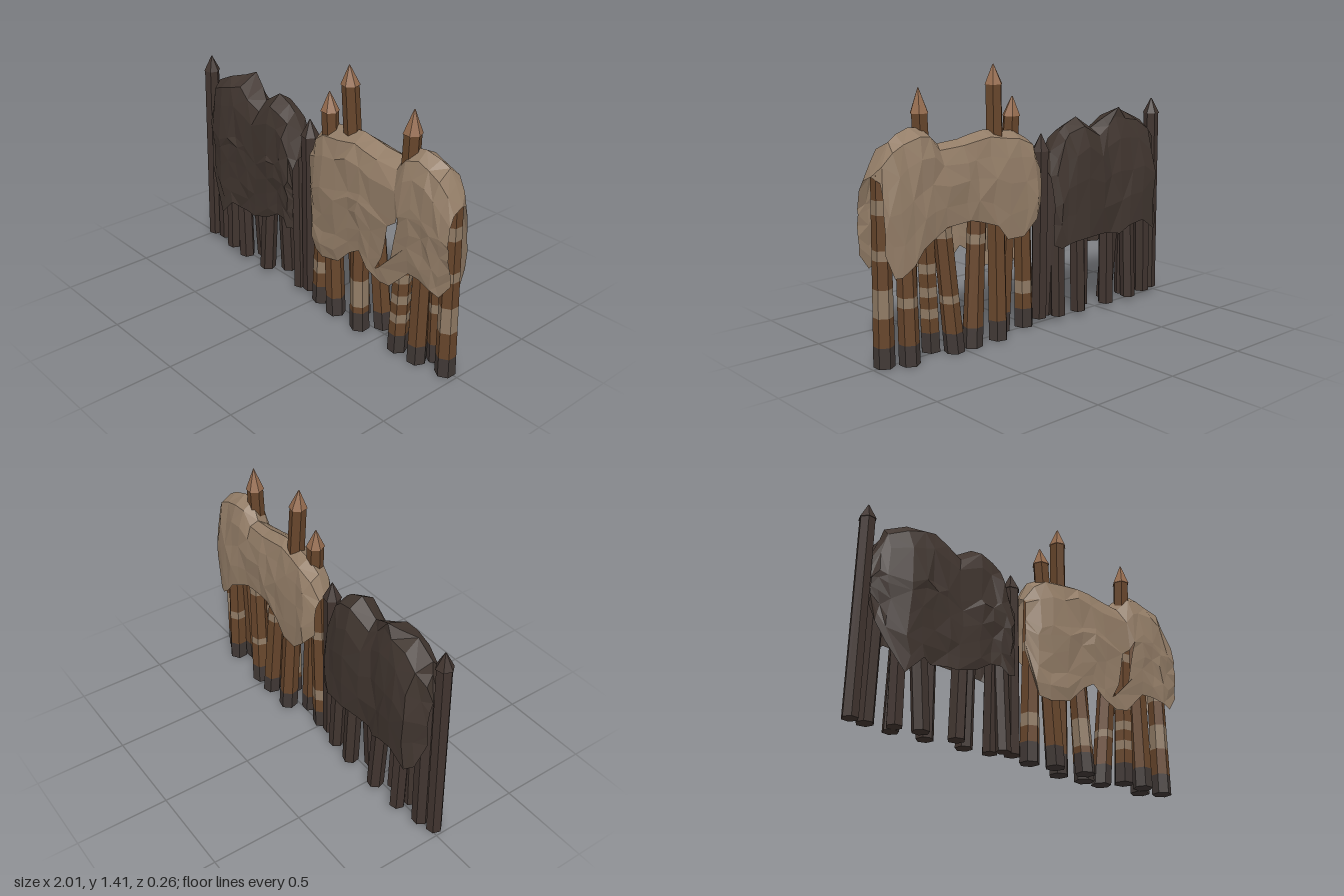
import * as THREE from 'three';

const mat = (name, color, side = THREE.FrontSide) => {
  const m = new THREE.MeshStandardMaterial({ color, flatShading: true, side });
  m.name = name;
  return m;
};

// repeatable noise in -1..1
function noise(seed) {
  let s = seed;
  return () => {
    s = (s * 16807) % 2147483647;
    return (s / 2147483647) * 2 - 1;
  };
}

// Front rows run from hem (0) to ridge (1), back rows return to the hem.
const FRONT = [0, 0.1, 0.22, 0.36, 0.5, 0.56, 0.8, 0.93, 1];
const FRONT_Z = [0.88, 0.9, 0.92, 0.97, 1, 1, 0.9, 0.65, 0];
const BACK = [0.93, 0.75, 0.5, 0.25, 0];
const BACK_Z = [0.55, 0.82, 0.95, 1, 0.95];

// Draped hide. Column: [x, ridge y, front hem y, back hem y, front z, back z, ridge z, front row x list]
function drapedHide(name, columns, material, seed, slit = -1) {
  const rnd = noise(seed), pos = [], index = [];
  const rows = FRONT.length + BACK.length;
  columns.forEach(([x, top, hemF, hemB, zF, zB, zR, xs], i) => {
    const inner = i > 0 && i < columns.length - 1;
    for (let j = 0; j < rows; j++) {
      const front = j < FRONT.length, k = j - FRONT.length;
      const t = front ? FRONT[j] : BACK[k];
      const hem = front ? hemF : hemB;
      const px = front && xs ? xs[j] : x + (inner ? rnd() * 0.016 : 0);
      const wobble = t < 1 ? rnd() * 0.009 : zR;
      const slack = t > 0 && t < 0.9 && !xs ? rnd() * 0.014 : 0;
      pos.push(px, hem + (top - hem) * t + slack, (front ? zF * FRONT_Z[j] : zB * BACK_Z[k]) + wobble);
    }
  });
  for (let i = 0; i < columns.length - 1; i++) {
    for (let j = 0; j < rows - 1; j++) {
      if (i === slit && j >= 1 && j <= 4) continue; // torn opening
      const a = i * rows + j, b = a + rows;
      if ((i + j) % 2) index.push(a, b, b + 1, a, b + 1, a + 1);
      else index.push(a, b, a + 1, b, b + 1, a + 1);
    }
  }
  let geo = new THREE.BufferGeometry();
  geo.setAttribute('position', new THREE.Float32BufferAttribute(pos, 3));
  geo.setIndex(index);
  geo = geo.toNonIndexed();
  geo.computeVertexNormals();
  const mesh = new THREE.Mesh(geo, material);
  mesh.name = name;
  return mesh;
}

// Leaning six-sided stake made of stacked coloured sections.
// foot and head are [x, y, z]; cuts are [upper y, material] from the foot up.
function stake(name, foot, head, r0, r1, cuts, tip, tipMaterial) {
  const g = new THREE.Group();
  g.name = name;
  const at = (y) => (y - foot[1]) / (head[1] - foot[1]);
  const section = (label, ya, yb, ra, rb, material) => {
    const geo = new THREE.CylinderGeometry(rb, ra, yb - ya, 6, 1);
    geo.rotateY(foot[0] * 9);
    geo.translate(0, (ya + yb) / 2, 0);
    const p = geo.attributes.position;
    for (let i = 0; i < p.count; i++) {
      const t = at(p.getY(i));
      p.setX(i, p.getX(i) + foot[0] + (head[0] - foot[0]) * t);
      p.setZ(i, p.getZ(i) + foot[2] + (head[2] - foot[2]) * t);
    }
    geo.computeVertexNormals();
    const mesh = new THREE.Mesh(geo, material);
    mesh.name = label;
    g.add(mesh);
  };
  const radius = (y) => r0 + (r1 - r0) * at(y);
  let y = foot[1];
  for (const [upper, material] of cuts) {
    section('stakeSection', y, upper, radius(y), radius(upper), material);
    y = upper;
  }
  if (tip) section('stakeTip', y, y + tip, r1 * 1.12, 0.003, tipMaterial);
  return g;
}

export function createModel() {
  const paleHide = mat('paleHide', 0x937d67, THREE.DoubleSide);
  const darkHide = mat('darkHide', 0x40352f, THREE.DoubleSide);
  const wood = mat('brownWood', 0x66452b);
  const cutWood = mat('cutWood', 0x946b4e);
  const band = mat('paleBinding', 0x8f7a64);
  const char = mat('charredFoot', 0x403835);
  const darkWood = mat('darkWood', 0x40342f);

  const model = new THREE.Group();
  model.name = 'stakeFence';

  // pale hide with a torn opening in its front
  model.add(drapedHide('paleHideCover', [
    [-0.025, 0.92, 0.62, 0.7, 0.06, -0.07, 0],
    [0.035, 1.03, 0.36, 0.62, 0.1, -0.11, 0],
    [0.11, 1.08, 0.345, 0.54, 0.11, -0.1, 0],
    [0.22, 1.09, 0.37, 0.54, 0.115, -0.1, 0],
    [0.31, 1.1, 0.46, 0.62, 0.115, -0.09, 0],
    [0.4, 1.085, 0.5, 0.66, 0.12, -0.09, 0],
    [0.47, 1.07, 0.43, 0.67, 0.115, -0.09, 0],
    [0.6, 1.06, 0.39, 0.66, 0.115, -0.09, 0, [0.55, 0.52, 0.565, 0.585, 0.6, 0.655, 0.64, 0.61, 0.6]],
    [0.68, 1.14, 0.4, 0.62, 0.12, -0.09, 0.02, [0.62, 0.545, 0.63, 0.65, 0.672, 0.68, 0.69, 0.68, 0.68]],
    [0.75, 1.15, 0.52, 0.58, 0.12, -0.1, 0.02],
    [0.82, 1.125, 0.52, 0.51, 0.12, -0.095, 0.01],
    [0.88, 1.095, 0.5, 0.46, 0.12, -0.09, 0],
    [0.93, 1.03, 0.48, 0.46, 0.115, -0.08, 0],
    [0.955, 0.94, 0.56, 0.58, 0.105, -0.06, 0.01, [1, 1, 0.998, 0.994, 0.99, 0.988, 0.985, 0.98, 0.975]],
  ], paleHide, 71, 7));

  // dark hide
  model.add(drapedHide('darkHideCover', [
    [-0.92, 0.88, 0.62, 0.6, 0.035, -0.05, 0],
    [-0.885, 0.99, 0.52, 0.47, 0.055, -0.09, 0],
    [-0.84, 1.05, 0.42, 0.43, 0.08, -0.135, 0.01],
    [-0.74, 1.105, 0.28, 0.5, 0.12, -0.13, 0.02],
    [-0.66, 1.125, 0.38, 0.48, 0.115, -0.12, -0.03],
    [-0.6, 1.145, 0.36, 0.44, 0.105, -0.11, -0.06],
    [-0.52, 1.09, 0.37, 0.45, 0.105, -0.1, -0.03],
    [-0.45, 1.04, 0.365, 0.46, 0.105, -0.11, 0],
    [-0.33, 1.11, 0.4, 0.46, 0.11, -0.12, 0],
    [-0.25, 1.075, 0.45, 0.45, 0.11, -0.11, 0],
    [-0.2, 1.04, 0.45, 0.44, 0.115, -0.1, 0],
    [-0.15, 0.94, 0.41, 0.42, 0.115, -0.09, 0],
    [-0.12, 0.84, 0.42, 0.44, 0.1, -0.065, 0],
  ], darkHide, 29));

  // pale side stakes: [foot x, foot z, head x, head z, head y, tip height, band edges]
  const paleStakes = [
    [0.025, 0.02, 0.05, 0.01, 0.95, 0, [0.2, 0.27, 0.62, 0.67]],
    [0.17, 0.045, 0.1, 0.03, 1.15, 0.1, []],
    [0.265, -0.05, 0.23, 0.015, 1.32, 0.1, []],
    [0.36, 0.05, 0.31, 0.02, 0.98, 0, [0.15, 0.3]],
    [0.435, -0.05, 0.36, -0.02, 0.98, 0, [0.54, 0.59]],
    [0.55, -0.05, 0.62, -0.01, 0.98, 0, [0.27, 0.31, 0.6, 0.65]],
    [0.63, 0.04, 0.675, 0.035, 1.21, 0.12, [0.19, 0.24, 0.3, 0.35, 0.42, 0.47, 0.7, 0.75]],
    [0.765, 0.04, 0.77, 0.02, 1.0, 0, []],
    [0.82, -0.045, 0.82, -0.02, 1.0, 0, [0.3, 0.35]],
    [0.93, 0.01, 0.925, 0.01, 0.95, 0, [0.26, 0.4, 0.54, 0.59, 0.76, 0.83]],
  ];
  for (const [x, z, hx, hz, top, tip, bands] of paleStakes) {
    const cuts = [[0.115, char]];
    bands.forEach((y, i) => cuts.push([y, i % 2 ? band : wood]));
    cuts.push([top, wood]);
    model.add(stake('paleSideStake', [x, 0.01, z], [hx, top, hz], 0.053, 0.044, cuts, tip, cutWood));
  }

  // dark side stakes: [foot x, foot z, head x, head z, head y, tip height, radius]
  const darkStakes = [
    [-0.965, 0.01, -0.945, 0.0, 1.08, 0.085, 0.042],
    [-0.88, -0.01, -0.86, -0.01, 0.9, 0, 0.045],
    [-0.75, 0.03, -0.74, 0.01, 0.95, 0, 0.042],
    [-0.73, -0.04, -0.72, -0.01, 0.95, 0, 0.042],
    [-0.615, 0.04, -0.67, 0.01, 0.95, 0, 0.045],
    [-0.545, -0.04, -0.57, -0.01, 0.95, 0, 0.045],
    [-0.42, 0.04, -0.38, 0.01, 0.95, 0, 0.045],
    [-0.325, -0.04, -0.33, -0.01, 0.95, 0, 0.045],
    [-0.18, -0.03, -0.19, 0, 0.9, 0, 0.042],
    [-0.14, 0.03, -0.17, 0.01, 0.85, 0, 0.04],
    [-0.075, 0.01, -0.083, 0.005, 0.95, 0.09, 0.045],
  ];
  for (const [x, z, hx, hz, top, tip, r] of darkStakes) {
    model.add(stake('darkSideStake', [x, 0.035, z], [hx, top, hz], r, r, [[top, darkWood]], tip, darkWood));
  }
  return model;
}
